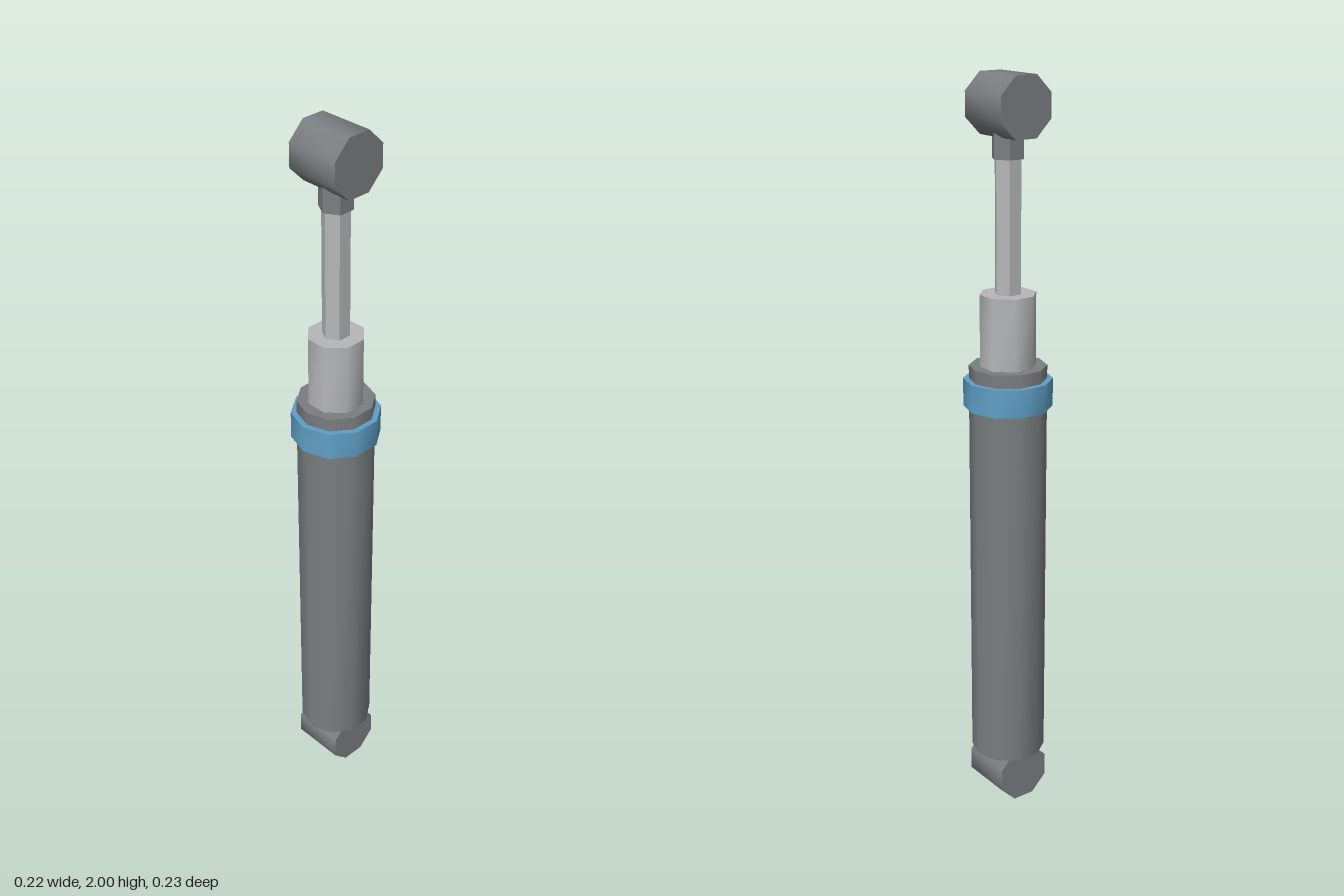
import * as THREE from 'three';
import { toCreasedNormals } from 'three/addons/utils/BufferGeometryUtils.js';

export function createModel() {
  const model = new THREE.Group();
  model.name = 'shockAbsorber';

  const material = (name, color) => {
    const m = new THREE.MeshStandardMaterial({ color });
    m.name = name;
    return m;
  };
  const darkSteel = material('dark steel', 0x7a7e80);
  const brightSteel = material('bright steel', 0xb6b7ba);
  const blue = material('blue band', 0x5f9fc6);

  // Upright prism from y0 to y1; hexagons stay faceted, rounder ones are smooth
  function prism(name, mat, radius, sides, y0, y1, turn = 0) {
    const geo = new THREE.CylinderGeometry(radius, radius, y1 - y0, sides, 1, false, turn);
    geo.translate(0, (y0 + y1) / 2, 0);
    const mesh = new THREE.Mesh(toCreasedNormals(geo, 0.9), mat);
    mesh.name = name;
    model.add(mesh);
  }

  // Octagonal mounting eye lying along x, flat side up
  function eye(name, y) {
    const geo = new THREE.CylinderGeometry(0.082, 0.082, 0.15, 8, 1, false, Math.PI / 8);
    geo.rotateZ(Math.PI / 2);
    const mesh = new THREE.Mesh(toCreasedNormals(geo, 0.9), darkSteel);
    mesh.name = name;
    mesh.position.y = y;
    model.add(mesh);
  }

  // Body
  eye('lowerEye', 0.076);
  prism('barrel', darkSteel, 0.102, 10, 0.137, 1.265);
  prism('collar', blue, 0.117, 10, 1.155, 1.23);

  // Sliding parts
  prism('sleeve', brightSteel, 0.0745, 8, 1.26, 1.455, Math.PI / 8);
  prism('rod', brightSteel, 0.036, 6, 1.45, 1.8);
  prism('rodNeck', darkSteel, 0.043, 6, 1.795, 1.88);
  eye('upperEye', 1.924);

  return model;
}
